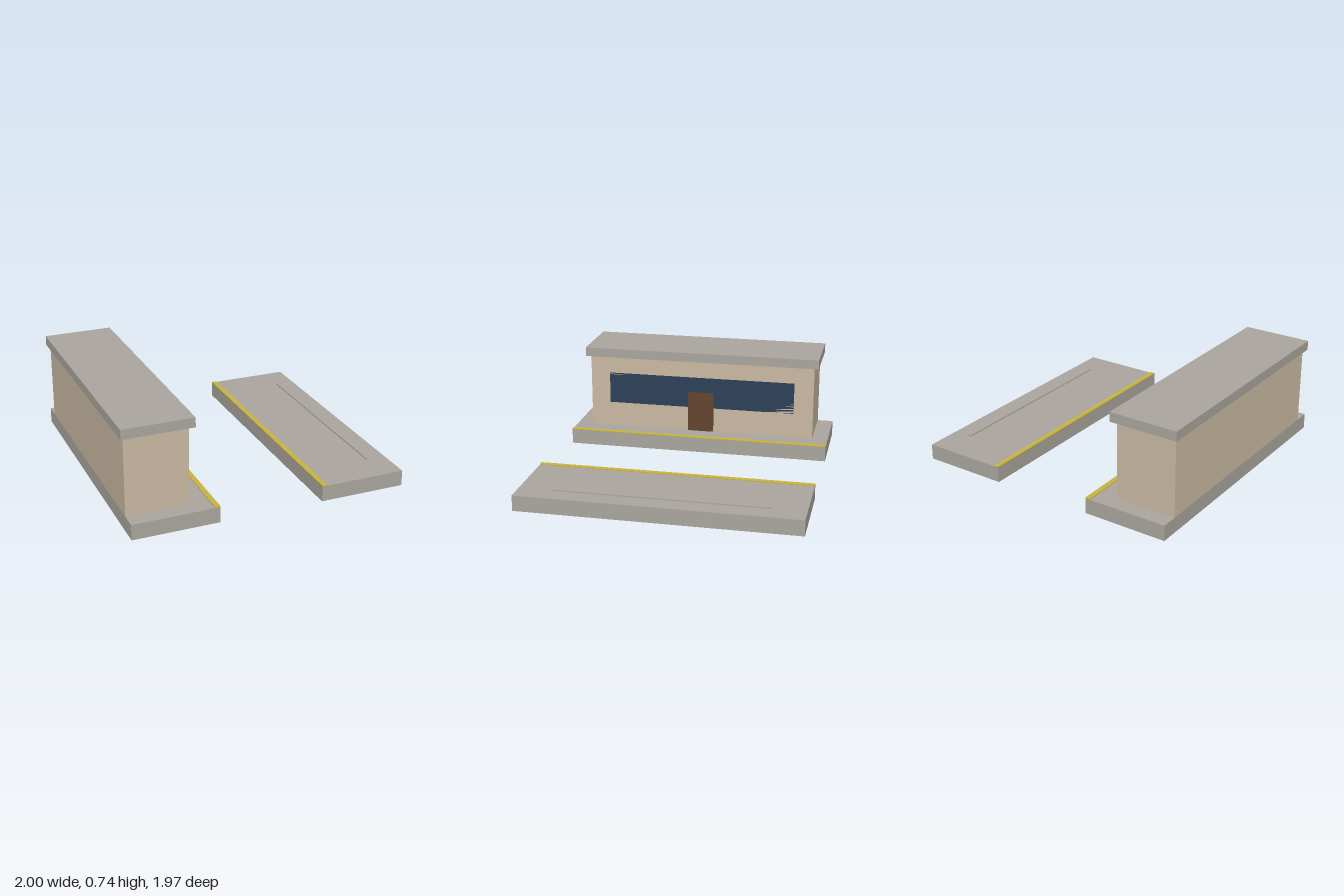
import * as THREE from 'three';

const material = (name, color) => {
  const m = new THREE.MeshStandardMaterial({ color });
  m.name = name;
  return m;
};

// Box given by its [min, max] range on each axis
function block(name, mat, [x0, x1], [y0, y1], [z0, z1]) {
  const mesh = new THREE.Mesh(new THREE.BoxGeometry(x1 - x0, y1 - y0, z1 - z0), mat);
  mesh.position.set((x0 + x1) / 2, (y0 + y1) / 2, (z0 + z1) / 2);
  mesh.name = name;
  return mesh;
}

export function createModel() {
  const concrete = material('concrete', 0xaaa69e);
  const plaster = material('plaster', 0xcab9a2);
  const safetyYellow = material('safetyYellow', 0xc8b440);
  const wood = material('wood', 0x64452c);
  const glass = material('glass', 0x2c4058);

  const model = new THREE.Group();
  model.name = 'stationPlatforms';

  const deck = 0.112;       // top of both platforms
  const length = [-0.985, 0.985];

  // Platform with the station building
  const station = new THREE.Group();
  station.name = 'stationSide';
  const wallFace = -0.535;
  station.add(
    block('stationPlatform', concrete, [-0.977, -0.363], [0, deck], length),
    block('stationEdgeStrip', safetyYellow, [-0.4, -0.363], [deck, 0.118], length),
    block('stationWalls', plaster, [-0.977, wallFace], [deck, 0.672], [-0.867, 0.867]),
    block('stationRoof', concrete, [-1, -0.5], [0.672, 0.741], [-0.9, 0.9]),
    block('stationDoor', wood, [wallFace - 0.004, wallFace + 0.005], [deck, 0.422], [-0.1, 0.1]),
    // Window band set flush into the wall face
    block('windowBand', glass, [wallFace - 0.006, wallFace], [0.3, 0.54], [-0.72, 0.72])
  );

  // Opposite open platform with a long low bench rail
  const opposite = new THREE.Group();
  opposite.name = 'oppositeSide';
  opposite.add(
    block('oppositePlatform', concrete, [0.381, 1], [0, deck], length),
    block('oppositeEdgeStrip', safetyYellow, [0.381, 0.418], [deck, 0.118], length),
    block('benchRail', concrete, [0.85, 0.873], [0.115, 0.124], [-0.74, 0.74])
  );

  model.add(station, opposite);
  return model;
}
